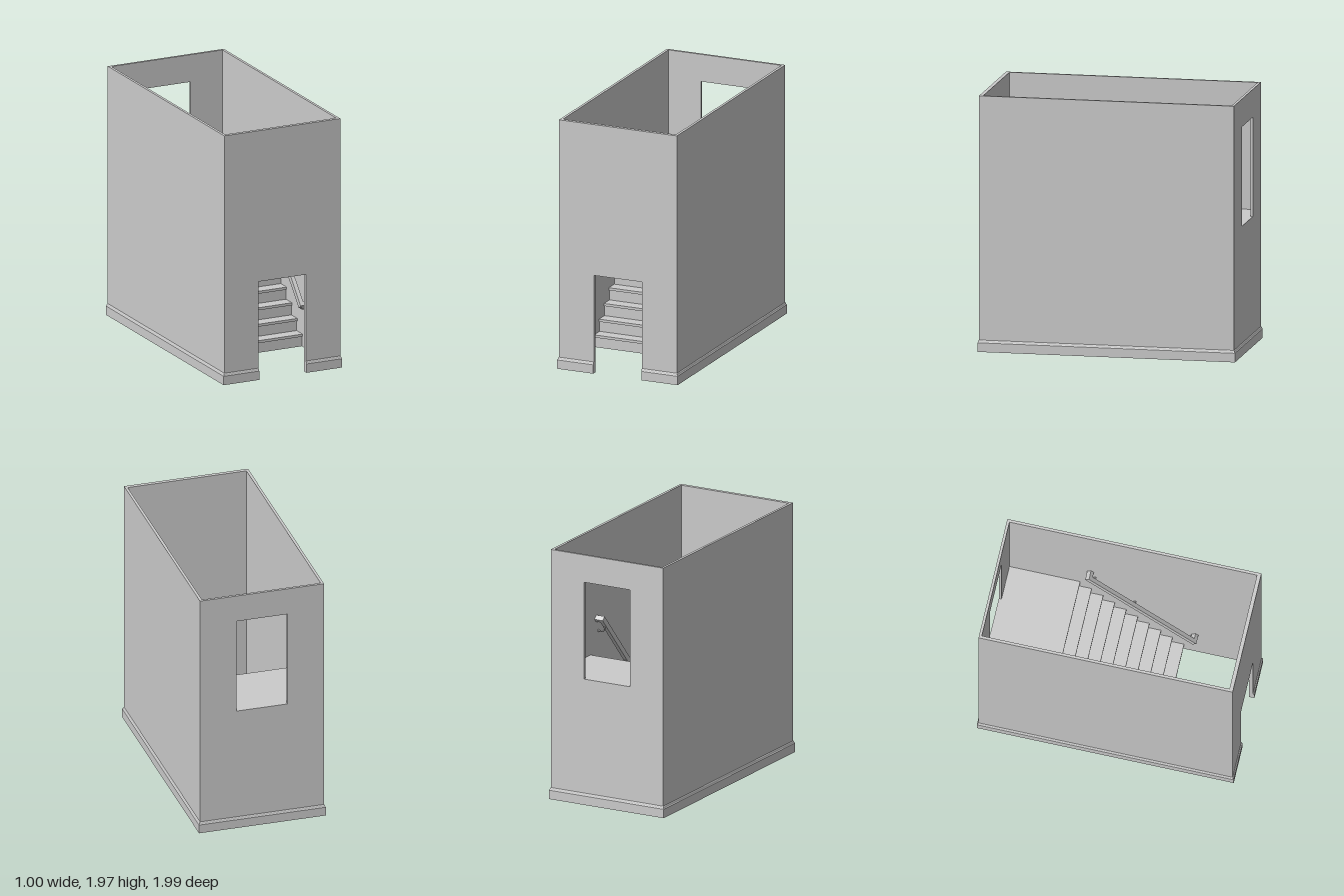
import * as THREE from 'three';

const material = new THREE.MeshStandardMaterial({ color: 0xcccccc, flatShading: true, side: THREE.DoubleSide });
const HX = 0.49, HZ = 0.985, TOP = 1.97, T = 0.021;   // wall half sizes, height, thickness
const RISE = 0.099, RUN = 0.0895, STEPS = 10, FIRST_Z = 0.39;
const INNER = HX - T;

function add(parent, name, geometry, x = 0, y = 0, z = 0) {
  const mesh = new THREE.Mesh(geometry, material);
  mesh.name = name;
  mesh.position.set(x, y, z);
  parent.add(mesh);
  return mesh;
}

// Box given by its minimum and maximum corners
function block(parent, name, a, b) {
  const size = b.map((v, i) => v - a[i]);
  const mid = b.map((v, i) => (v + a[i]) / 2);
  return add(parent, name, new THREE.BoxGeometry(...size), ...mid);
}

function polygon(points) {
  return new THREE.Shape(points.map(([x, y]) => new THREE.Vector2(x, y)));
}

// Moulding swept round the walls with mitred corners, open at the front doorway
function baseboardGeometry() {
  const profile = [[0, 0], [0.011, 0], [0.011, 0.07], [0.007, 0.074], [0.004, 0.086], [0, 0.09]];
  const path = [[-0.2, 1, 0], [-HX, 1, 1], [-HX, -1, 1], [HX, -1, 1], [HX, 1, 1], [0.2, 1, 0]];
  const positions = [], index = [];
  const n = profile.length;
  for (const [x, sz, corner] of path) {
    for (const [out, y] of profile) {
      positions.push(x + corner * Math.sign(x) * out, y, sz * (HZ + out));
    }
  }
  for (let i = 0; i < path.length - 1; i++) {
    for (let j = 0; j < n - 1; j++) {
      const a = i * n + j, b = a + n;
      index.push(a, a + 1, b, b, a + 1, b + 1);
    }
  }
  const last = (path.length - 1) * n;
  for (let j = 1; j < n - 1; j++) {
    index.push(0, j + 1, j, last, last + j, last + j + 1);
  }
  const geometry = new THREE.BufferGeometry();
  geometry.setAttribute('position', new THREE.Float32BufferAttribute(positions, 3));
  geometry.setIndex(index);
  geometry.computeVertexNormals();
  return geometry;
}

function buildWalls() {
  const walls = new THREE.Group();
  walls.name = 'walls';
  for (const side of [-1, 1]) {
    add(walls, side > 0 ? 'leftWall' : 'rightWall',
      new THREE.BoxGeometry(T, TOP, 2 * HZ), side * (HX - T / 2), TOP / 2, 0);
  }
  // Front wall with a doorway down to the ground
  const front = polygon([[-INNER, 0], [-0.2, 0], [-0.2, 0.775], [0.2, 0.775], [0.2, 0],
    [INNER, 0], [INNER, TOP], [-INNER, TOP]]);
  const frontDepth = 0.03;
  add(walls, 'frontWall', new THREE.ExtrudeGeometry(front, { depth: frontDepth, bevelEnabled: false }), 0, 0, HZ - frontDepth);
  // Back wall with a doorway opening at landing level
  const back = polygon([[-INNER, 0], [INNER, 0], [INNER, TOP], [-INNER, TOP]]);
  back.holes.push(polygon([[-0.2, 0.99], [-0.2, 1.755], [0.2, 1.755], [0.2, 0.99]]));
  add(walls, 'backWall', new THREE.ExtrudeGeometry(back, { depth: T, bevelEnabled: false }), 0, 0, -HZ);
  add(walls, 'baseboard', baseboardGeometry());
  return walls;
}

function buildStairs() {
  const stairs = new THREE.Group();
  stairs.name = 'stairs';
  const thick = 0.02, nosing = 0.01, riser = 0.015;
  for (let k = 1; k < STEPS; k++) {
    const z = FIRST_Z - (k - 1) * RUN, y = k * RISE;
    block(stairs, 'tread', [-INNER, y - thick, z - RUN - nosing - riser], [INNER, y, z]);
    block(stairs, 'riser', [-INNER, y - RISE, z - nosing - riser], [INNER, y - thick, z - nosing]);
  }
  // Landing slab and the full height wall carrying its front edge
  const y = STEPS * RISE, z = FIRST_Z - (STEPS - 1) * RUN;
  block(stairs, 'landing', [-INNER, y - thick, -HZ + T], [INNER, y, z]);
  block(stairs, 'landingWall', [-INNER, 0, z - 0.04], [INNER, y - thick, z - nosing]);
  return stairs;
}

function buildHandrail() {
  const handrail = new THREE.Group();
  handrail.name = 'handrail';
  const length = 1.24, height = 0.04, width = 0.032, x = 0.413;
  const centreY = 0.81, centreZ = 0.07, slope = RISE / RUN;

  // Sloping bar with a return to the wall at each end
  const bar = new THREE.Group();
  bar.name = 'rail';
  bar.position.set(x, centreY, centreZ);
  bar.rotation.x = Math.atan(slope);
  add(bar, 'railBar', new THREE.BoxGeometry(width, height, length));
  const reach = INNER - x - width / 2;
  for (const end of [-1, 1]) {
    add(bar, 'railReturn', new THREE.BoxGeometry(reach, height, width),
      width / 2 + reach / 2, 0, end * (length - width) / 2);
  }
  handrail.add(bar);

  // Curved wall brackets under the bar
  for (const z of [-0.3, 0.01, 0.45]) {
    const y = centreY - (z - centreZ) * slope - 0.025;
    const curve = new THREE.CatmullRomCurve3([
      new THREE.Vector3(INNER, y - 0.04, z),
      new THREE.Vector3(x + 0.025, y - 0.045, z),
      new THREE.Vector3(x + 0.005, y - 0.03, z),
      new THREE.Vector3(x, y, z),
    ]);
    add(handrail, 'railBracket', new THREE.TubeGeometry(curve, 10, 0.005, 8));
    const plate = add(handrail, 'bracketPlate', new THREE.CylinderGeometry(0.012, 0.012, 0.005, 12),
      INNER - 0.0025, y - 0.04, z);
    plate.rotation.z = Math.PI / 2;
  }
  return handrail;
}

export function createModel() {
  const model = new THREE.Group();
  model.name = 'stairwell';
  model.add(buildWalls(), buildStairs(), buildHandrail());
  return model;
}
